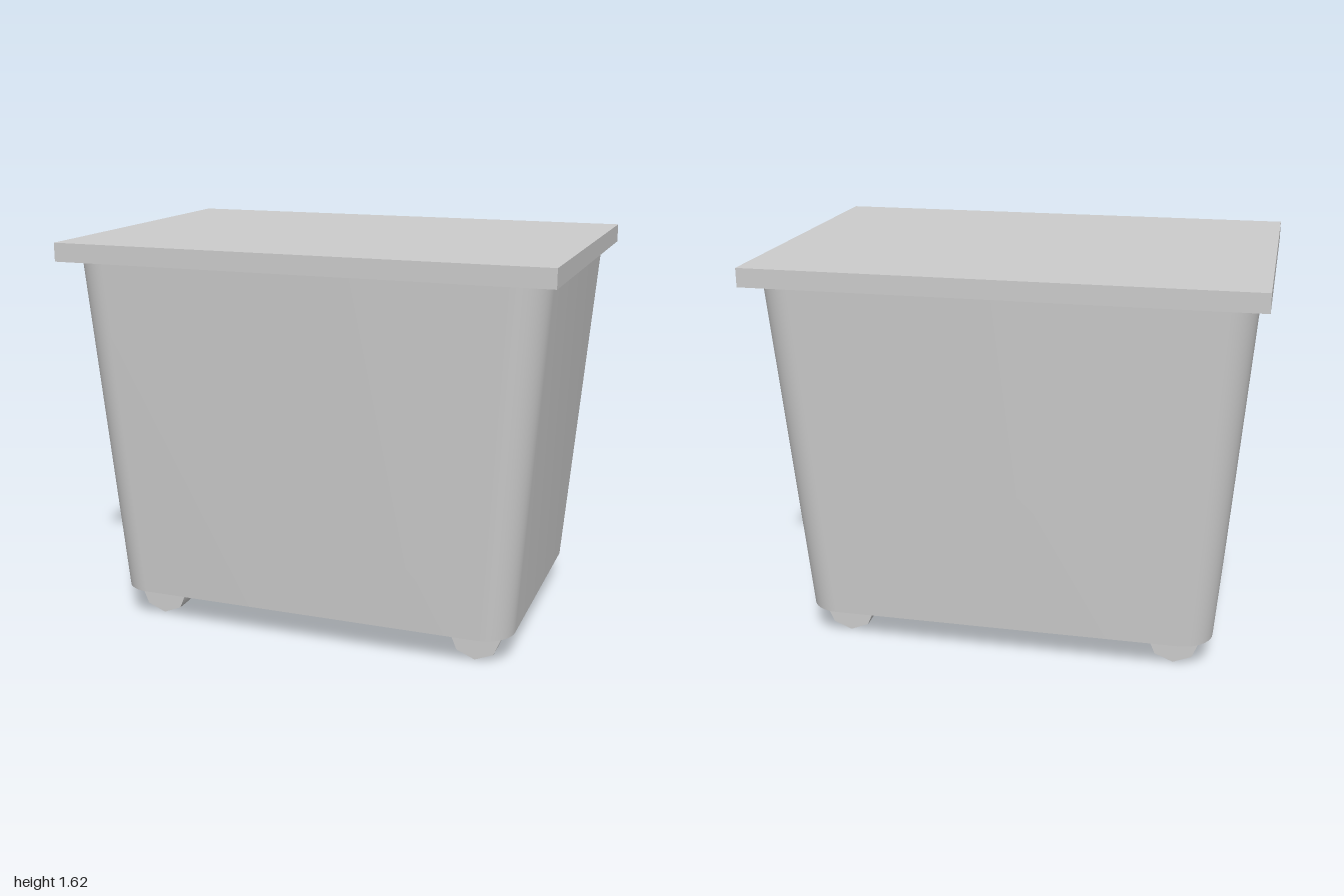
import * as THREE from 'three';
import { toCreasedNormals } from 'three/addons/utils/BufferGeometryUtils.js';

const BASE_Y = 0.13, RIM_Y = 1.54, TOP_Y = 1.615;
const material = new THREE.MeshStandardMaterial({ color: 0xcccccc });

function part(name, geometry, x = 0, y = 0, z = 0) {
  const mesh = new THREE.Mesh(geometry, material);
  mesh.name = name;
  mesh.position.set(x, y, z);
  return mesh;
}

// Rectangle with rounded corners, given by half sizes and radius
function roundedRect(w, d, r) {
  const shape = new THREE.Shape();
  shape.absarc(w - r, d - r, r, 0, Math.PI / 2);
  shape.absarc(-w + r, d - r, r, Math.PI / 2, Math.PI);
  shape.absarc(-w + r, -d + r, r, Math.PI, Math.PI * 1.5);
  shape.absarc(w - r, -d + r, r, Math.PI * 1.5, Math.PI * 2);
  shape.closePath();
  return shape;
}

// Bin walls and floor: rounded rectangle that widens toward the rim
function bodyGeometry() {
  const height = RIM_Y - BASE_Y;
  const geometry = new THREE.ExtrudeGeometry(roundedRect(0.847, 0.578, 0.125), {
    depth: height, bevelEnabled: false, curveSegments: 5,
  });
  geometry.rotateX(-Math.PI / 2);
  const p = geometry.attributes.position;
  for (let i = 0; i < p.count; i++) {
    const widen = 1 + 0.132 * p.getY(i) / height;
    p.setX(i, p.getX(i) * widen);
    p.setZ(i, p.getZ(i) * widen);
  }
  return toCreasedNormals(geometry, 0.7);
}

export function createModel() {
  const model = new THREE.Group();
  model.name = 'wheeledBin';

  model.add(part('body', bodyGeometry(), 0, BASE_Y, 0));
  model.add(part('lid', new THREE.BoxGeometry(2, TOP_Y - RIM_Y, 1.386), 0, (RIM_Y + TOP_Y) / 2, 0));

  // Four eight-sided wheels, partly sunk into the floor
  const radius = 0.107;
  const wheel = new THREE.CylinderGeometry(radius, radius, 0.092, 8).rotateX(Math.PI / 2);
  for (const [sx, side] of [[1, 'Left'], [-1, 'Right']]) {
    for (const [sz, end] of [[1, 'front'], [-1, 'back']]) {
      model.add(part(`${end}${side}Wheel`, wheel, sx * 0.692, radius, sz * 0.432));
    }
  }
  return model;
}
